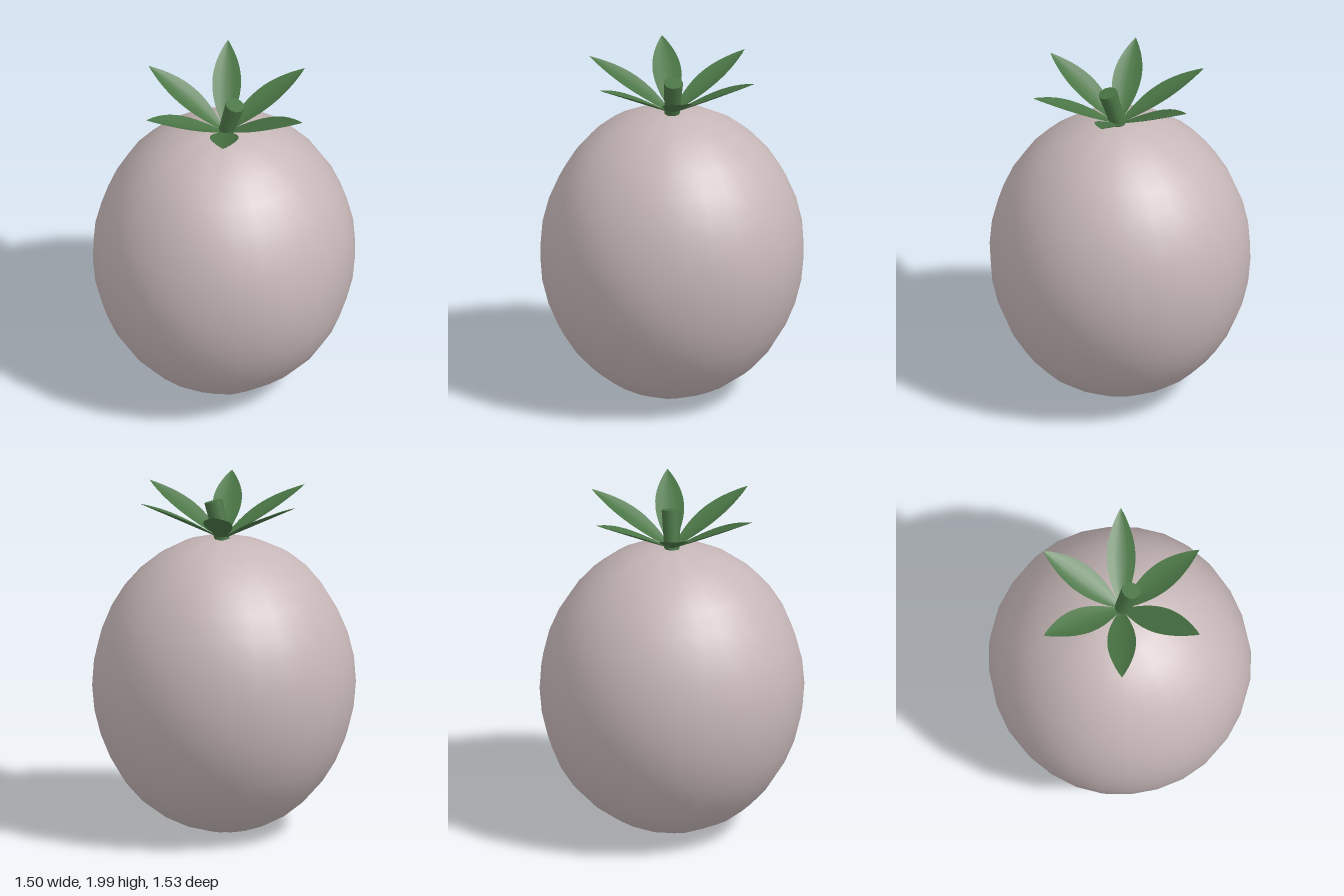
import * as THREE from 'three';
import { mergeVertices } from 'three/addons/utils/BufferGeometryUtils.js';

const skin = new THREE.MeshStandardMaterial({ name: 'pale skin', color: 0xc6b6b7 });
const green = new THREE.MeshStandardMaterial({ name: 'leaf green', color: 0x4a7545, side: THREE.DoubleSide });

// Slightly lumpy ellipsoid, with pleats gathering towards both poles
function fruitGeometry() {
  let geo = new THREE.SphereGeometry(1, 28, 18);
  geo.deleteAttribute('uv');
  geo.deleteAttribute('normal');
  geo = mergeVertices(geo, 1e-4);
  const pos = geo.attributes.position;
  for (let i = 0; i < pos.count; i++) {
    const x = pos.getX(i), y = pos.getY(i), z = pos.getZ(i);
    const angle = Math.atan2(z, x);
    const ring = Math.hypot(x, z);
    const lump = 0.007 * Math.sin(4 * x + 3 * y + 1) * Math.cos(5 * z - 2 * y);
    const pleat = 0.012 * Math.sin(9 * angle) * ring * Math.pow(Math.abs(y), 6);
    const k = 1 + lump + pleat;
    pos.setXYZ(i, 0.752 * x * k, 0.87 + 0.87 * y * (ring < 0.01 ? 0.993 : k), 0.762 * z * k);
  }
  geo.computeVertexNormals();
  return geo;
}

// Pointed leaf along +x, rising to its tip and cupped about the midrib
function leafGeometry() {
  const length = 0.52, rise = 0.27;
  const geo = new THREE.PlaneGeometry(1, 2, 16, 4);
  const pos = geo.attributes.position;
  for (let i = 0; i < pos.count; i++) {
    const t = pos.getX(i) + 0.5, side = -pos.getY(i);
    const half = 0.083 * Math.pow(Math.sin(Math.PI * t), 0.9);
    const cup = 0.022 * side * side * Math.sin(Math.PI * t);
    pos.setXYZ(i, length * t, rise * t + cup, half * side);
  }
  geo.computeVertexNormals();
  return geo;
}

export function createModel() {
  const group = new THREE.Group();
  group.name = 'fruit';

  const body = new THREE.Mesh(fruitGeometry(), skin);
  body.name = 'body';
  group.add(body);

  // Crown of six leaves
  const crown = new THREE.Group();
  crown.name = 'leafCrown';
  crown.position.set(0.01, 1.73, 0);
  const leafGeo = leafGeometry();
  for (let i = 0; i < 6; i++) {
    const leaf = new THREE.Mesh(leafGeo, green);
    leaf.name = 'leaf' + (i + 1);
    leaf.rotation.y = i * Math.PI / 3;
    crown.add(leaf);
  }
  group.add(crown);

  // Short stem leaning to the left, wider at its cut end
  const stem = new THREE.Mesh(new THREE.CylinderGeometry(0.056, 0.044, 0.23, 10), green);
  stem.name = 'stem';
  stem.position.set(0.043, 1.835, 0);
  stem.rotation.z = -0.28;
  group.add(stem);

  return group;
}
